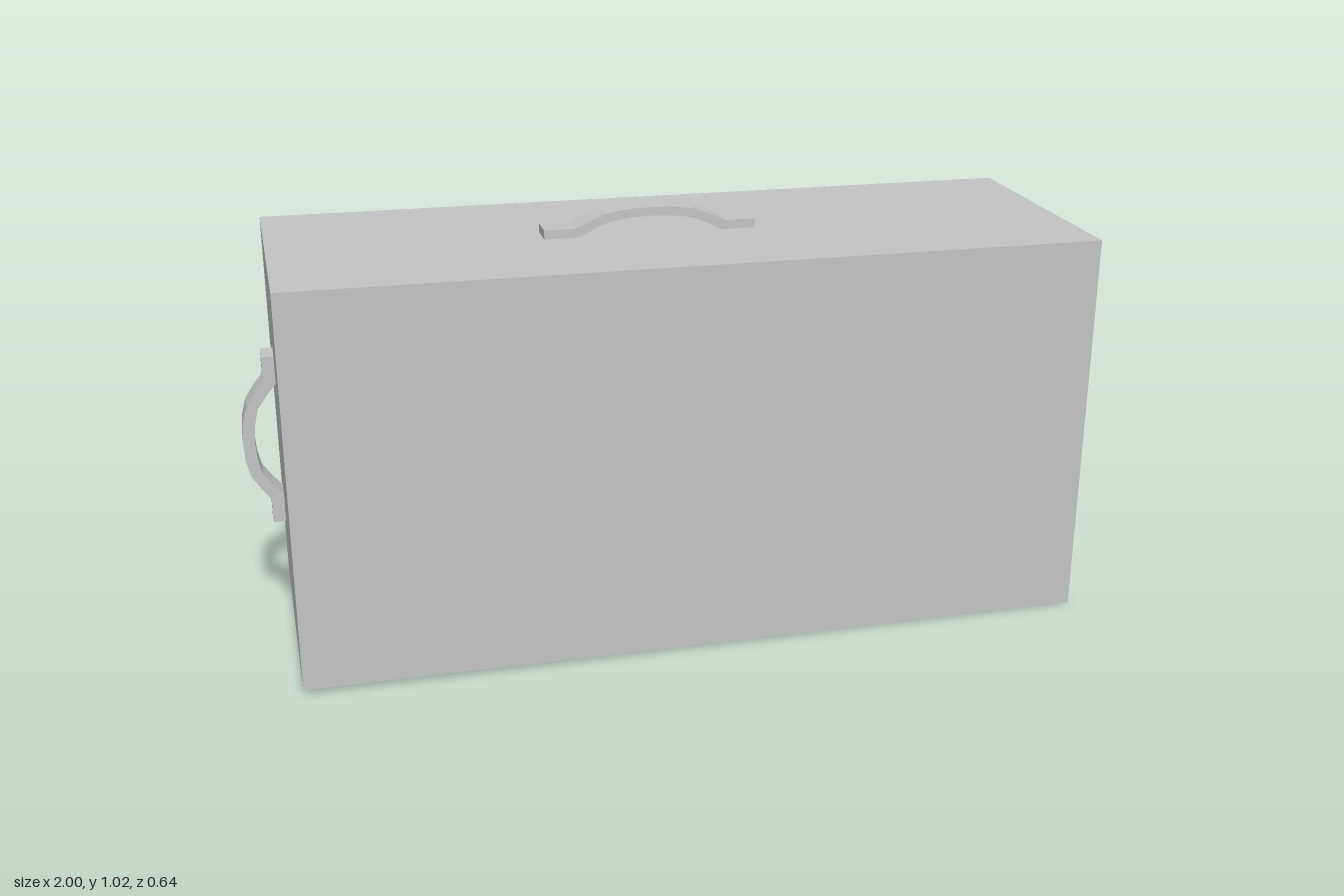
import * as THREE from 'three';

const TILT = 0.0076; // the case leans very slightly down towards +x

// Half of the handle outline, from the tab end to the crown: [distance, height]
const OUTER = [[0.256, 0.022], [0.182, 0.022], [0.148, 0.038], [0.108, 0.054], [0.055, 0.062], [0, 0.064]];
const INNER = [[0.256, 0], [0.172, 0], [0.138, 0.018], [0.1, 0.034], [0.05, 0.041], [0, 0.043]];

// Arched grip with a flat tab at each end, lying along x and rising in y
function handleGeometry(width) {
  const mirror = (half) => [
    ...half.map(([x, y]) => new THREE.Vector2(-x, y)),
    ...half.slice(0, -1).reverse().map(([x, y]) => new THREE.Vector2(x, y)),
  ];
  const shape = new THREE.Shape([...mirror(INNER), ...mirror(OUTER).reverse()]);
  const geometry = new THREE.ExtrudeGeometry(shape, { depth: width, bevelEnabled: false });
  return geometry.translate(0, 0, -width / 2);
}

// Thin-walled box without a bottom, sheared along its length
function caseGeometry(length, height, depth) {
  const geometry = new THREE.BoxGeometry(length, height, depth);
  const index = Array.from(geometry.index.array);
  index.splice(18, 6); // the underside
  geometry.setIndex(index);
  geometry.clearGroups();
  const p = geometry.attributes.position;
  for (let i = 0; i < p.count; i++) p.setY(i, p.getY(i) - TILT * p.getX(i));
  geometry.computeVertexNormals();
  return geometry;
}

export function createModel() {
  const model = new THREE.Group();
  model.name = 'carryingCase';
  const grey = new THREE.MeshStandardMaterial({ color: 0xc4c4c4, side: THREE.DoubleSide });
  grey.name = 'grey';

  const add = (name, geometry, x, y) => {
    const mesh = new THREE.Mesh(geometry, grey);
    mesh.name = name;
    mesh.position.set(x, y, 0);
    model.add(mesh);
    return mesh;
  };

  // Open-bottomed shell
  add('caseShell', caseGeometry(1.913, 0.952, 0.64), 0.0425, 0.4833);

  // Carrying handle on the lid
  const topHandle = add('topHandle', handleGeometry(0.065), -0.021, 0.96);
  topHandle.rotation.z = -TILT;

  // Shorter, deeper handle on the -x end
  const endHandle = add('endHandle', handleGeometry(0.065), -0.915, 0.52);
  endHandle.scale.set(0.81, 1.32, 1);
  endHandle.rotation.z = Math.PI / 2 - TILT;

  return model;
}
